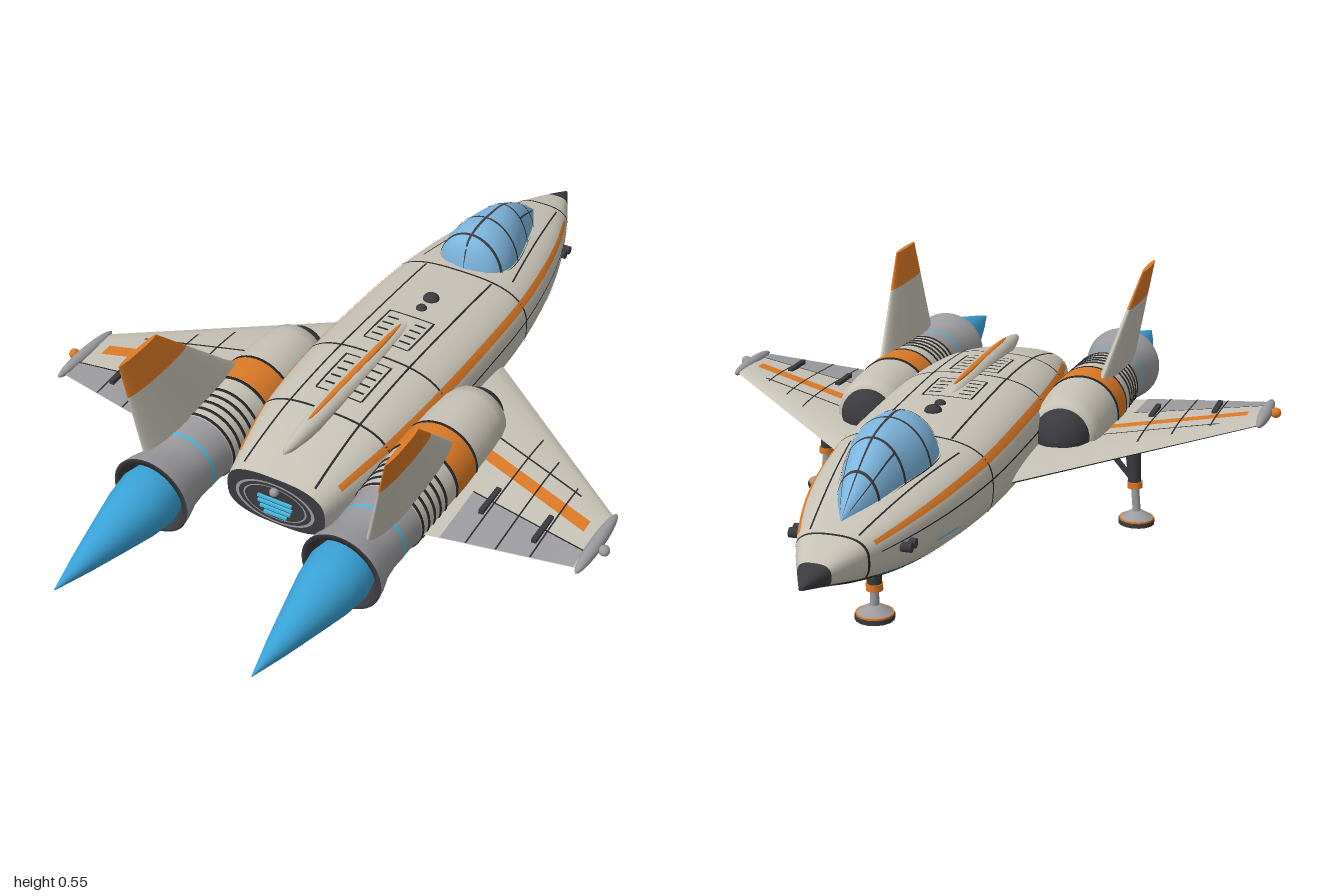
import * as THREE from 'three';

const paint = (name, color, side = THREE.FrontSide) => {
  const m = new THREE.MeshStandardMaterial({ color, side });
  m.name = name;
  return m;
};
const lerp = THREE.MathUtils.lerp;

// Smooth interpolation through rows of [z, value, value, ...]
function sample(rows, z) {
  const n = rows.length;
  let i = 0;
  while (i < n - 2 && z > rows[i + 1][0]) i++;
  const a = rows[i], b = rows[i + 1], p = rows[Math.max(i - 1, 0)], q = rows[Math.min(i + 2, n - 1)];
  const h = b[0] - a[0], u = THREE.MathUtils.clamp((z - a[0]) / h, 0, 1);
  return a.slice(1).map((v, k) => {
    const w = b[k + 1];
    const m0 = ((w - p[k + 1]) / (b[0] - p[0])) * h, m1 = ((q[k + 1] - v) / (q[0] - a[0])) * h;
    const u2 = u * u, u3 = u2 * u;
    return (2 * u3 - 3 * u2 + 1) * v + (u3 - 2 * u2 + u) * m0 + (3 * u2 - 2 * u3) * w + (u3 - u2) * m1;
  });
}

// Surface grid from a rule f(a, b) -> [x, y, z]
function patch(f, a0, a1, b0, b1, na = 1, nb = 1) {
  const pos = [], idx = [];
  for (let j = 0; j <= nb; j++)
    for (let i = 0; i <= na; i++) pos.push(...f(lerp(a0, a1, i / na), lerp(b0, b1, j / nb)));
  for (let j = 0; j < nb; j++)
    for (let i = 0; i < na; i++) {
      const a = j * (na + 1) + i, c = a + na + 1;
      idx.push(a, a + 1, c, a + 1, c + 1, c);
    }
  const g = new THREE.BufferGeometry();
  g.setAttribute('position', new THREE.Float32BufferAttribute(pos, 3));
  g.setIndex(idx);
  g.computeVertexNormals();
  return g;
}

function mirrored(geo) {
  const g = geo.clone().scale(-1, 1, 1), ix = g.index.array;
  for (let i = 0; i < ix.length; i += 3) [ix[i + 1], ix[i + 2]] = [ix[i + 2], ix[i + 1]];
  const n = g.attributes.normal;
  g.computeBoundingSphere();
  n.needsUpdate = true;
  return g;
}

// Hull: z, half width, top, bottom
const MID = 0.235;
const HULL = [[-1, .004, .239, .231], [-.93, .037, .262, .212], [-.84, .078, .285, .185], [-.7, .128, .31, .155],
  [-.55, .165, .33, .143], [-.36, .192, .345, .135], [-.15, .2, .355, .13], [.1, .198, .36, .13],
  [.3, .18, .35, .132], [.42, .155, .33, .145], [.52, .13, .305, .17]];
const pw = (v, e) => Math.sign(v) * Math.abs(v) ** e;
const hullAt = (off = 0) => (t, z) => {
  const [w, top, bot] = sample(HULL, z), s = Math.sin(t);
  const x = w * pw(Math.cos(t), 0.7), y = (s > 0 ? top - MID : MID - bot) * pw(s, 0.7);
  const k = 1 + off / Math.hypot(x, y);
  return [x * k, MID + y * k, z];
};
const angleAtX = (x, z) => Math.acos(Math.min(1, x / sample(HULL, z)[0]) ** (1 / 0.7));

// Canopy: z, half width, top
const DOME = [[-.785, .002, .297], [-.7, .042, .36], [-.6, .072, .413], [-.5, .095, .428], [-.43, .094, .424],
  [-.39, .065, .4], [-.372, .004, .335]];
const domeAt = (off = 0) => (t, z) => {
  const [w, top] = sample(DOME, z), base = lerp(0.285, 0.315, (z + 0.785) / 0.41);
  return [(w + off) * Math.cos(t), base + (top - base + off) * Math.sin(t), z];
};

// Wing surface by plan position; side is 1 above, -1 below
const lead = (x) => lerp(-0.22, 0.2, (x - 0.2) / 0.48);
const trail = (x) => lerp(0.445, 0.4, (x - 0.2) / 0.48);
const wingAt = (x, z, side, off = 0) => {
  const s = (x - 0.2) / 0.48, u = THREE.MathUtils.clamp((z - lead(x)) / (trail(x) - lead(x)), 0, 1);
  return [x, lerp(0.205, 0.255, s) + side * (lerp(0.024, 0.009, s) * Math.sin(Math.PI * u ** 0.6) + off), z];
};

// Tail fin section
const finAt = (t, y, r = 1) => {
  const h = (y - 0.29) / 0.26, z0 = lerp(0.19, 0.47, h);
  return [lerp(0.285, 0.336, h) + r * lerp(0.024, 0.006, h) * Math.cos(t), y,
    (z0 + 0.61) / 2 - r * ((0.61 - z0) / 2) * Math.sin(t)];
};

export function createModel() {
  const hull = paint('warm grey hull', 0xc8c3b7), dark = paint('charcoal', 0x3b3b3f, THREE.DoubleSide);
  const line = paint('panel line', 0x29292b), grey = paint('mid grey', 0x9c9ca0, THREE.DoubleSide);
  const orange = paint('orange', 0xdd7a26), glass = paint('canopy blue', 0x7db5de);
  const flame = paint('exhaust blue', 0x3aa3d8), cyan = paint('cyan light', 0x45c4ee);

  const model = new THREE.Group();
  const add = (name, geo, mat) => {
    const m = new THREE.Mesh(geo, mat);
    m.name = name;
    model.add(m);
    return m;
  };
  const pair = (name, geo, mat) => {
    add(name + 'Left', geo, mat);
    add(name + 'Right', mirrored(geo), mat);
  };
  const lathe = (pts, x, y, seg = 36) =>
    new THREE.LatheGeometry(pts.map((p) => new THREE.Vector2(...p)), seg).rotateX(Math.PI / 2).translate(x, y, 0);
  const rod = (a, b, r0, r1 = r0) => {
    const A = new THREE.Vector3(...a), B = new THREE.Vector3(...b), d = B.clone().sub(A);
    const q = new THREE.Quaternion().setFromUnitVectors(new THREE.Vector3(0, 1, 0), d.clone().normalize());
    return new THREE.CylinderGeometry(r1, r0, d.length(), 16).applyQuaternion(q).translate(...A.add(B).multiplyScalar(0.5).toArray());
  };
  const ball = (r, x, y, z, sy = 1, sz = 1) => new THREE.SphereGeometry(r, 20, 14).scale(1, sy, sz).translate(x, y, z);
  const PI = Math.PI, skin = hullAt(0.002);

  // Fuselage
  add('hullUpper', patch(hullAt(), -0.6, PI + 0.6, -0.93, 0.52, 64, 60), hull);
  add('hullBelly', patch(hullAt(), PI + 0.6, 2 * PI - 0.6, -0.93, 0.52, 32, 60), dark);
  add('noseTip', patch(hullAt(), 0, 2 * PI, -1, -0.93, 40, 6), dark);
  pair('hullStripe', patch(skin, 0.41, 0.6, -0.81, 0.46, 4, 50), orange);
  pair('sideLight', patch(skin, -0.2, -0.16, -0.62, -0.53, 1, 6), cyan);
  pair('bellyTrim', patch(skin, -0.62, -0.59, -0.8, -0.3, 1, 20), cyan);
  for (const z of [-0.84, -0.36, 0.07, 0.3]) add('hullSeam', patch(skin, -0.6, PI + 0.6, z, z + 0.006, 50, 1), line);
  pair('dorsalSeam', patch((k, z) => skin(angleAtX(0.09 + k, z), z), 0.005, 0, -0.35, 0.5, 1, 30), line);
  pair('noseSeam', patch((k, z) => skin(angleAtX(lerp(0.05, 0.125, (z + 0.82) / 0.42) + k, z), z), 0.004, 0, -0.82, -0.4, 1, 20), line);
  pair('sideSeam', patch(skin, 0.1, 0.125, -0.8, 0, 1, 30), line);

  // Dorsal hatches and domes
  for (const [z0, z1] of [[-0.11, 0.02], [0.1, 0.24]]) {
    const at = (x, z) => skin(angleAtX(x, z), z);
    pair('hatchEdge', patch(at, 0.063, 0.058, z0, z1, 1, 6), line);
    for (const z of [z0, z1]) pair('hatchEnd', patch(at, 0.06, 0, z, z + 0.004, 6, 1), line);
    for (let i = 1; i < 5; i++) {
      const z = lerp(z0, z1, i / 5);
      pair('hatchSlot', patch(at, 0.052, 0.022, z, z + 0.006, 4, 1), line);
    }
  }
  add('dorsalDomeLarge', ball(0.021, 0, 0.353, -0.205, 0.7), dark);
  add('dorsalDomeSmall', ball(0.014, 0, 0.355, -0.155, 0.7), dark);

  // Spine
  add('spine', ball(0.028, 0, 0.348, 0.19, 1, 10.4), hull);
  add('spineStripe', ball(0.009, 0, 0.372, 0.16, 0.7, 24), orange);

  // Canopy and frames
  add('canopy', patch(domeAt(), 0, PI, -0.785, -0.372, 32, 48), glass);
  for (const z of [-0.69, -0.6, -0.5, -0.42]) add('canopyRib', patch(domeAt(0.002), 0, PI, z, z + 0.007, 28, 1), dark);
  add('canopySpine', patch(domeAt(0.002), PI / 2 - 0.035, PI / 2 + 0.035, -0.78, -0.374, 2, 40), dark);
  pair('canopySill', patch(domeAt(0.004), 0, 0.2, -0.785, -0.372, 3, 44), dark);
  pair('canopyRail', patch(domeAt(0.002), 0.82, 0.87, -0.76, -0.6, 1, 16), dark);

  // Stern plate and grille
  const stern = (z) => (t, r) => {
    const [x, y] = hullAt()(t, 0.52);
    return [x * r, MID + (y - MID) * r, z];
  };
  add('sternPlate', patch(stern(0.52), 0, 2 * PI, 1, 0, 48, 1), dark);
  const ellipse = (t, r) => [0.105 * r * Math.cos(t), MID + 0.057 * r * Math.sin(t), 0.524];
  add('sternRing', patch(ellipse, 0, 2 * PI, 1, 0.92, 48, 1), grey);
  add('sternRingInner', patch(ellipse, 0, 2 * PI, 0.8, 0.76, 48, 1), grey);
  for (let i = 0; i < 4; i++)
    add('grilleBar', new THREE.BoxGeometry([0.09, 0.09, 0.08, 0.06][i], 0.006, 0.006).translate(0, 0.243 - i * 0.014, 0.524), cyan);
  add('sternBeacon', ball(0.011, 0, 0.268, 0.524), grey);

  // Nose thrusters
  for (const z of [-0.735, -0.71]) pair('noseThruster', rod([0.11, 0.236, z], [0.137, 0.236, z], 0.011), dark);

  // Nacelles
  const NX = 0.25, NY = 0.245;
  const body = [[0.066, 0.02], [0.08, 0.025], [0.088, 0.06], [0.093, 0.13], [0.094, 0.24], [0.091, 0.34], [0.087, 0.45]];
  pair('nacelle', lathe(body, NX, NY), hull);
  pair('intakeCone', lathe([[0.001, -0.035], [0.03, -0.03], [0.053, -0.014], [0.067, 0.012], [0.07, 0.035]], NX, NY), dark);
  pair('nacelleBand', lathe([[0.0955, 0.205], [0.0962, 0.25], [0.0945, 0.29]], NX, NY), orange);
  for (const z of [0.2, 0.291, 0.34, 0.365, 0.39, 0.415, 0.44])
    pair('nacelleRing', lathe([[0.085, z], [0.0965 - Math.max(0, z - 0.25) * 0.04, z], [0.0965 - Math.max(0, z - 0.25) * 0.04, z + 0.007], [0.085, z + 0.007]], NX, NY), line);
  pair('nozzle', lathe([[0.087, 0.445], [0.083, 0.47], [0.082, 0.55], [0.086, 0.59], [0.096, 0.625], [0.1, 0.65]], NX, NY), grey);
  pair('nozzleLip', lathe([[0.1, 0.65], [0.087, 0.652], [0.078, 0.62], [0.07, 0.6], [0.001, 0.6]], NX, NY), dark);
  pair('nozzleLight', lathe([[0.0835, 0.515], [0.0835, 0.523]], NX, NY), cyan);
  pair('exhaustPlume', lathe([[0.066, 0.605], [0.076, 0.66], [0.068, 0.72], [0.05, 0.8], [0.027, 0.9], [0.001, 1]], NX, NY), flame);

  // Fins
  pair('fin', patch(finAt, 0, 2 * PI, 0.29, 0.47, 28, 4), hull);
  pair('finTip', patch(finAt, 0, 2 * PI, 0.47, 0.55, 28, 3), orange);
  pair('finCap', patch((t, r) => finAt(t, 0.55, r), 0, 2 * PI, 1, 0, 28, 1), orange);

  // Wings
  const span = (side, off, zA, zB) => (u, x) => wingAt(x, lerp(zA(x), zB(x), u), side, off);
  const shift = (f, d) => (x) => f(x) + d;
  const flapLine = (x) => lerp(0.27, 0.35, (x - 0.37) / 0.31);
  const stripe = (x) => lerp(0.115, 0.255, (x - 0.33) / 0.32);
  pair('wingTop', patch(span(1, 0, lead, trail), 0, 1, 0.16, 0.69, 28, 16), hull);
  pair('wingUnderside', patch(span(-1, 0, lead, trail), 1, 0, 0.16, 0.69, 28, 16), dark);
  pair('flap', patch(span(1, 0.002, flapLine, trail), 0, 1, 0.37, 0.68, 10, 10), grey);
  pair('flapSeam', patch(span(1, 0.003, shift(flapLine, -0.004), flapLine), 0, 1, 0.37, 0.68, 1, 10), line);
  pair('wingStripe', patch(span(1, 0.002, stripe, shift(stripe, 0.036)), 0, 1, 0.33, 0.655, 3, 12), orange);
  pair('wingSeam', patch(span(1, 0.002, shift(stripe, -0.05), shift(stripe, -0.045)), 0, 1, 0.33, 0.6, 1, 10), line);
  for (const x of [0.43, 0.5, 0.58]) pair('wingRib', patch(span(1, 0.003, shift(lead, 0.05), trail), 0, 1, x, x + 0.004, 16, 1), line);
  for (const x of [0.42, 0.57])
    pair('flapActuator', new THREE.BoxGeometry(0.012, 0.012, 0.09).translate(...wingAt(x, flapLine(x), 1, 0.004)), dark);
  pair('wingtipPod', ball(0.016, 0.693, 0.257, 0.307, 1, 6.8), grey);
  add('tipLightLeft', ball(0.013, 0.717, 0.257, 0.32), grey);
  add('tipLightRight', ball(0.013, -0.717, 0.257, 0.32), orange);

  // Landing gear
  const leg = (put, x, z, top, lean, collar) => {
    put('footPad', rod([x, 0, z], [x, 0.011, z], 0.045), dark);
    put('footTrim', rod([x, 0.011, z], [x, 0.015, z], 0.043), orange);
    put('footCone', rod([x, 0.015, z], [x, 0.032, z], 0.04, 0.014), grey);
    put('lowerStrut', rod([x, 0.03, z], [x - lean * 0.5, 0.11, z], 0.01), grey);
    put('strutCollar', rod([x - lean * 0.4, collar - 0.008, z], [x - lean * 0.45, collar + 0.008, z], 0.019), orange);
    put('upperStrut', rod([x - lean * 0.45, collar, z], [x - lean, top, z], 0.016, 0.02), dark);
  };
  leg(add, 0, -0.6, 0.16, 0, 0.075);
  add('noseBrace', rod([0, 0.09, -0.6], [0, 0.16, -0.66], 0.007), grey);
  leg(pair, 0.415, 0.13, 0.21, 0.015, 0.1);
  pair('gearBrace', rod([0.4, 0.115, 0.13], [0.325, 0.2, 0.13], 0.007), dark);
  pair('gearDragBrace', rod([0.405, 0.11, 0.13], [0.4, 0.205, 0.2], 0.007), grey);

  return model;
}
